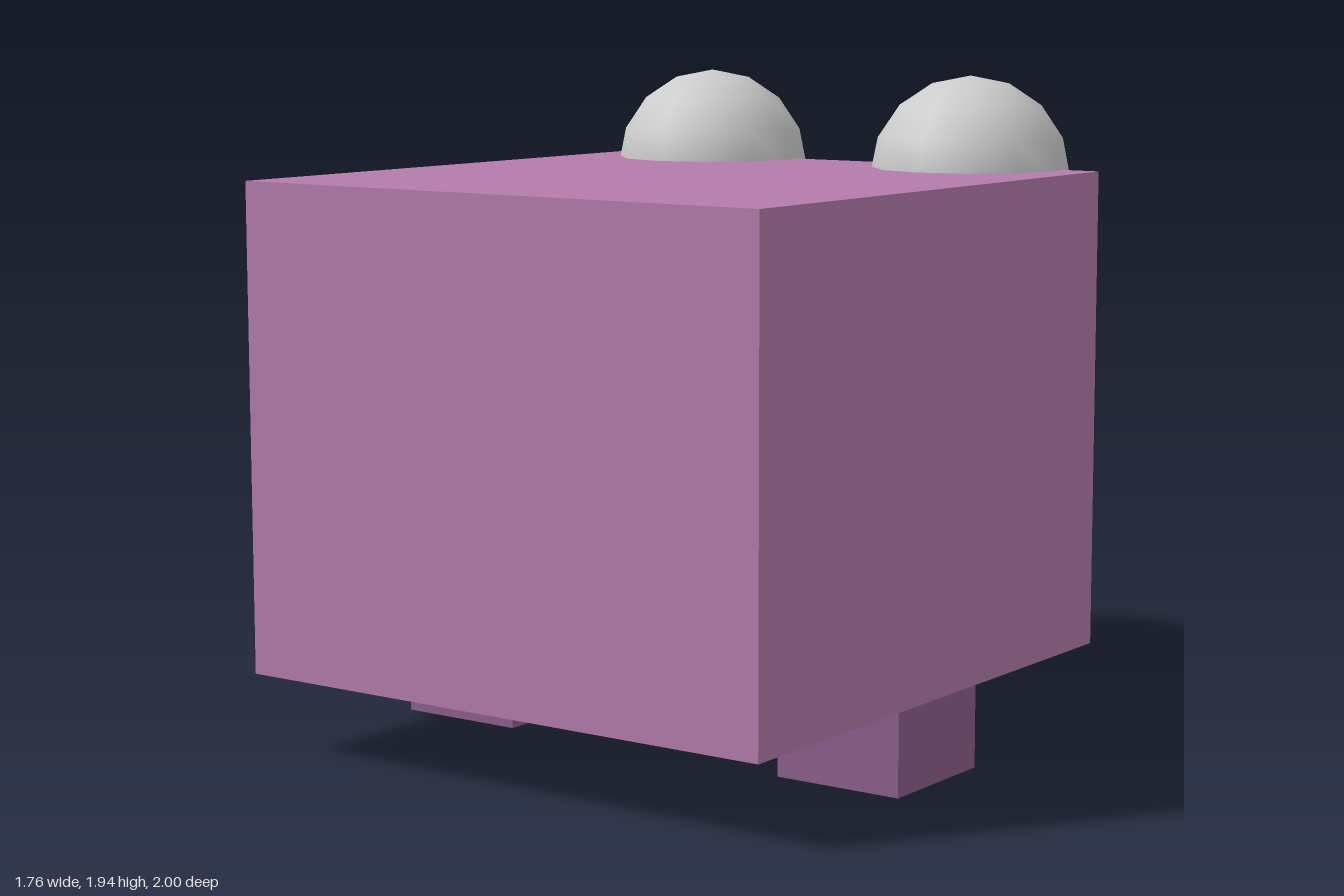
import * as THREE from 'three';

export function createModel() {
  const model = new THREE.Group();
  const bodyMat = new THREE.MeshStandardMaterial({ color: 0xb47bac });
  const footMat = new THREE.MeshStandardMaterial({ color: 0x8d5e8b });
  const greyMat = new THREE.MeshStandardMaterial({ color: 0xcccccc });

  const add = (name, geometry, material, x, y, z) => {
    const mesh = new THREE.Mesh(geometry, material);
    mesh.name = name;
    mesh.position.set(x, y, z);
    model.add(mesh);
  };

  // Large block body
  add('body', new THREE.BoxGeometry(1.76, 1.42, 1.76), bodyMat, 0, 0.95, 0.12);

  // Paired feet and round ears on the upper back edge
  const footGeo = new THREE.BoxGeometry(0.4, 0.24, 0.41);
  const earGeo = new THREE.SphereGeometry(0.3, 12, 8);
  for (const [side, s] of [['left', 1], ['right', -1]]) {
    add(side + 'Foot', footGeo, footMat, s * 0.68, 0.12, 0.12);
    add(side + 'Ear', earGeo, greyMat, s * 0.475, 1.635, -0.7);
  }
  return model;
}
